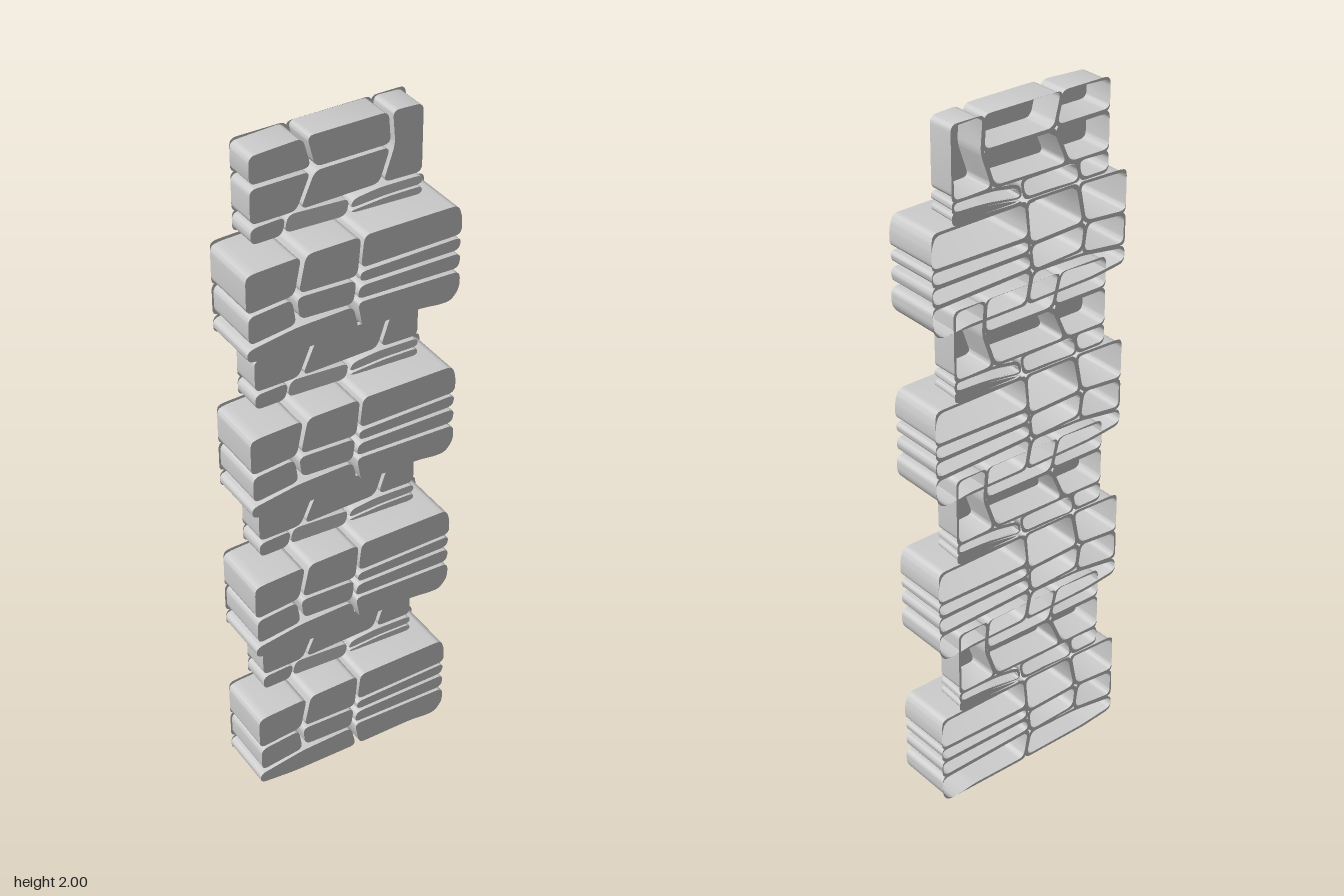
import * as THREE from 'three';
import { toCreasedNormals } from 'three/addons/utils/BufferGeometryUtils.js';

const BACK = -0.083, PERIOD = 0.4853, COURSES = 4;
const material = new THREE.MeshStandardMaterial({ color: 0xcccccc, side: THREE.DoubleSide });

// Face outlines in hundredths of a unit, clockwise from the top left corner
const wideStones = [
  ['wideTopLeft', [[-31, 26.8], [-29, 27.6], [-15.6, 28], [-17.6, 17.8], [-31, 16.7]]],
  ['wideMiddleLeft', [[-30.5, 15.6], [-18.3, 16.7], [-17.2, 9.3], [-30.5, 7.7]]],
  ['wideBottomLeft', [[-31, 6.1], [-17.2, 8.2], [-0.8, 8.5], [0.8, 1], [-20, 1.5], [-31, 2.8]]],
  ['wideTopMiddle', [[-14.2, 28], [1.3, 28], [0.3, 17.1], [-16.4, 17.8]]],
  ['wideMiddle', [[-16.9, 16.7], [0, 16], [-0.8, 9.5], [-16.2, 10.3]]],
  ['wideTopRight', [[2.3, 28], [29.8, 27.6], [31, 24], [31, 19], [1.3, 19]]],
  ['wideUpperSlab', [[1.2, 17.8], [31, 18], [30.4, 14.6], [1.2, 15]]],
  ['wideLowerSlab', [[1.1, 13.8], [31, 13.4], [30.5, 9.2], [0.3, 10.3]]],
  ['wideBottomRight', [[0.5, 9.2], [31, 8], [31, 3], [28.5, 0], [25, 0], [20, 0.8], [2, 1]]],
];
const narrowStones = [
  ['narrowTopLeft', [[-24.7, 53.6], [-10, 54.3], [-7.8, 46], [-24.7, 46]]],
  ['narrowTopMiddle', [[-8.8, 54.4], [14, 54.3], [14.7, 45.6], [-6.6, 45.6]]],
  ['narrowLowerLeft', [[-24.7, 44.8], [-7.9, 44.8], [-12, 35.3], [-24.7, 35.3]]],
  ['narrowLowerMiddle', [[-6.7, 44.6], [14.6, 44.6], [11.5, 35.6], [-10.8, 35.3]]],
  ['narrowRight', [[15.2, 54.2], [24, 53.8], [24, 35], [12.7, 35.4], [16, 45]]],
  ['narrowSlabLeft', [[-24.7, 34.2], [-15, 34.6], [-16, 29.8], [-24.7, 29.8]]],
  ['narrowSlabMiddle', [[-13.8, 34.6], [3, 34.3], [2, 29.8], [-14.8, 29.8]], -0.06],
  ['narrowSlabRight', [[4.8, 33], [12, 34.2], [24, 34.4], [24, 32], [14, 31.7], [3.8, 30.6]], -0.06],
  ['narrowSliverRight', [[3.8, 29.8], [14, 31], [24, 31.3], [24, 29.2], [5, 29.2]], -0.06],
];

// Closed path with each corner softened by a quadratic curve
function roundPath(path, pts, radius) {
  const n = pts.length;
  pts.forEach((p, i) => {
    const toward = (q) => {
      const d = p.distanceTo(q);
      return p.clone().lerp(q, d > 0 ? Math.min(radius, d * 0.42) / d : 0);
    };
    const a = toward(pts[(i + n - 1) % n]), b = toward(pts[(i + 1) % n]);
    if (i === 0) path.moveTo(a.x, a.y); else path.lineTo(a.x, a.y);
    path.quadraticCurveTo(p.x, p.y, b.x, b.y);
  });
  path.closePath();
  return path;
}

// Hollow stone: front face and side walls, open at the back
function shellGeometry(pts, front) {
  const geo = new THREE.ExtrudeGeometry(roundPath(new THREE.Shape(), pts, 0.02),
    { depth: front - BACK, bevelEnabled: false, curveSegments: 5 });
  const src = geo.attributes.position, kept = [];
  for (let i = 0; i < src.count; i += 3) {
    if (src.getZ(i) + src.getZ(i + 1) + src.getZ(i + 2) < 1e-6) continue;
    for (let k = i; k < i + 3; k++) kept.push(src.getX(k), src.getY(k), src.getZ(k) + BACK);
  }
  const shell = new THREE.BufferGeometry();
  shell.setAttribute('position', new THREE.Float32BufferAttribute(kept, 3));
  return toCreasedNormals(shell, 0.6);
}

// Thin rim around a stone's open back that closes the joints
function rimGeometry(pts, limit) {
  const c = new THREE.Box2().setFromPoints(pts).getCenter(new THREE.Vector2());
  const outer = pts.map((p) => new THREE.Vector2(
    THREE.MathUtils.clamp(p.x + Math.sign(p.x - c.x) * 0.008, -limit, limit),
    THREE.MathUtils.clamp(p.y + Math.sign(p.y - c.y) * 0.008, 0, 0.544)));
  const shape = roundPath(new THREE.Shape(), outer, 0.02);
  shape.holes.push(roundPath(new THREE.Path(), pts, 0.02));
  return new THREE.ShapeGeometry(shape, 5).translate(0, 0, BACK);
}

function makeStones(list, front, limit) {
  return list.map(([name, outline, turn = 0]) => {
    const pts = outline.map(([x, y]) => new THREE.Vector2(x / 100, y / 100));
    const shell = shellGeometry(pts, front);
    if (turn) {
      // loose stones sit slightly turned in the wall
      shell.computeBoundingBox();
      const c = shell.boundingBox.getCenter(new THREE.Vector3());
      shell.translate(-c.x, -c.y, -c.z).rotateY(turn).translate(c.x, c.y, c.z);
    }
    return { name, shell, rim: rimGeometry(pts, limit) };
  });
}

export function createModel() {
  const model = new THREE.Group();
  model.name = 'stoneCornerColumn';
  const stones = [
    ...makeStones(wideStones, 0.085, 0.31),
    ...makeStones(narrowStones, 0.005, 0.247),
  ];
  // The same wide and narrow courses repeat up the column
  for (let i = 0; i < COURSES; i++) {
    const course = new THREE.Group();
    course.name = `course${i + 1}`;
    course.position.y = i * PERIOD;
    for (const { name, shell, rim } of stones) {
      const stone = new THREE.Group();
      stone.name = name;
      const body = new THREE.Mesh(shell, material);
      body.name = 'stone';
      const joint = new THREE.Mesh(rim, material);
      joint.name = 'joint';
      stone.add(body, joint);
      course.add(stone);
    }
    model.add(course);
  }
  return model;
}
